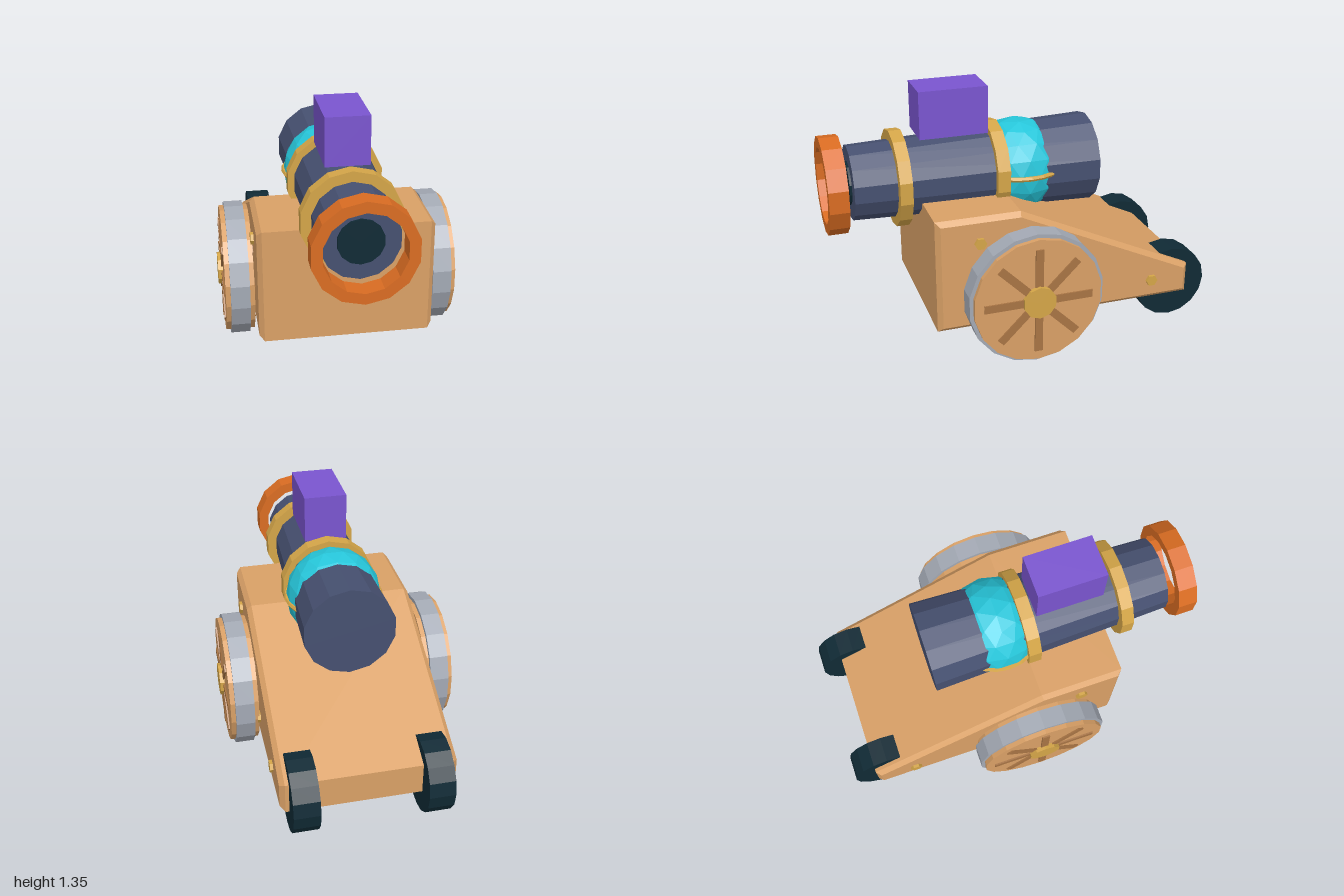
import * as THREE from 'three';

export function createModel() {
  const model = new THREE.Group();
  model.name = 'cannon';

  const paint = (name, color) => {
    const m = new THREE.MeshStandardMaterial({ color, flatShading: true });
    m.name = name;
    return m;
  };
  const wood = paint('wood', 0xd9a066);
  const darkWood = paint('dark wood', 0xa87444);
  const gunmetal = paint('gunmetal', 0x465070);
  const brass = paint('brass', 0xd4a548);
  const steel = paint('steel', 0xa3a9b4);
  const black = paint('blue black', 0x102a35);
  const orange = paint('orange', 0xd96c22);
  const teal = paint('teal', 0x26c6da);
  const purple = paint('purple', 0x7a55cf);

  const add = (name, geometry, material, x = 0, y = 0, z = 0, parent = model) => {
    const mesh = new THREE.Mesh(geometry, material);
    mesh.name = name;
    mesh.position.set(x, y, z);
    parent.add(mesh);
    return mesh;
  };
  // Cylinder lying along x, with a corner at the top
  const discX = (r, width, sides) =>
    new THREE.CylinderGeometry(r, r, width, sides).rotateY(Math.PI / 2).rotateZ(Math.PI / 2);
  // Cylinder lying along z
  const tubeZ = (rFront, rBack, length) =>
    new THREE.CylinderGeometry(rFront, rBack, length, 14).rotateX(Math.PI / 2);
  // Hollow ring around z
  const ringZ = (rIn, rOut, length) => {
    const h = length / 2;
    const profile = [[rIn, -h], [rOut, -h], [rOut, h], [rIn, h], [rIn, -h]]
      .map(([x, y]) => new THREE.Vector2(x, y));
    return new THREE.LatheGeometry(profile, 14).rotateX(Math.PI / 2);
  };

  // Carriage: bevelled side profile extruded across x
  const side = new THREE.Shape([[0.5, 0.195], [0.5, 0.76], [0.085, 0.76], [-0.855, 0.322], [-0.855, 0.195]]
    .map(([z, y]) => new THREE.Vector2(z, y)));
  const carriage = new THREE.ExtrudeGeometry(side, {
    depth: 0.85, bevelThickness: 0.025, bevelSize: 0.025, bevelSegments: 1,
  });
  carriage.translate(0, 0, -0.425).rotateY(-Math.PI / 2);
  add('carriage', carriage, wood);

  // Barrel, bore, bands and muzzle ring
  const axisY = 0.873;
  add('barrel', tubeZ(0.195, 0.24, 1.295), gunmetal, 0, axisY, 0.2175);
  add('bore', tubeZ(0.114, 0.114, 0.03), black, 0, axisY, 0.861);
  add('frontBand', ringZ(0.17, 0.255, 0.065), brass, 0, axisY, 0.615);
  add('rearBand', ringZ(0.17, 0.255, 0.068), brass, 0, axisY, 0.105);
  add('muzzleRing', ringZ(0.2, 0.255, 0.1), orange, 0, axisY, 0.95);

  // Energy core with its thin hoop
  add('core', new THREE.IcosahedronGeometry(0.252, 2), teal, 0, axisY, -0.04);
  add('coreHoop', new THREE.TorusGeometry(0.25, 0.014, 6, 24).rotateX(Math.PI / 2), brass, 0, axisY, -0.04);

  // Sight block
  add('sight', new THREE.BoxGeometry(0.224, 0.25, 0.36), purple, 0, 1.225, 0.33);

  for (const s of [1, -1]) {
    // Main wheel: tyre, disc, raised spokes on both faces, hub
    const wheel = new THREE.Group();
    wheel.name = s > 0 ? 'leftWheel' : 'rightWheel';
    wheel.position.set(s * 0.532, 0.361, 0.043);
    model.add(wheel);
    add('tyre', discX(0.36, 0.1, 18), steel, 0, 0, 0, wheel);
    add('wheelDisc', discX(0.34, 0.15, 18), wood, 0, 0, 0, wheel);
    add('hub', discX(0.087, 0.2, 10), brass, 0, 0, 0, wheel);
    for (let i = 0; i < 4; i++) {
      const spoke = add('spoke', new THREE.BoxGeometry(0.166, 0.575, 0.042), darkWood, 0, 0, 0, wheel);
      spoke.rotation.x = i * Math.PI / 4;
    }

    // Rear roller
    add('rearRoller', discX(0.2, 0.135, 16), black, s * 0.338, 0.225, -0.8);

    // Carriage bolts
    for (const [y, z] of [[0.65, 0.3], [0.305, -0.27], [0.283, -0.658]]) {
      const bolt = new THREE.CylinderGeometry(0.032, 0.032, 0.04, 6).rotateZ(Math.PI / 2);
      add('bolt', bolt, brass, s * 0.446, y, z);
    }
  }
  return model;
}
